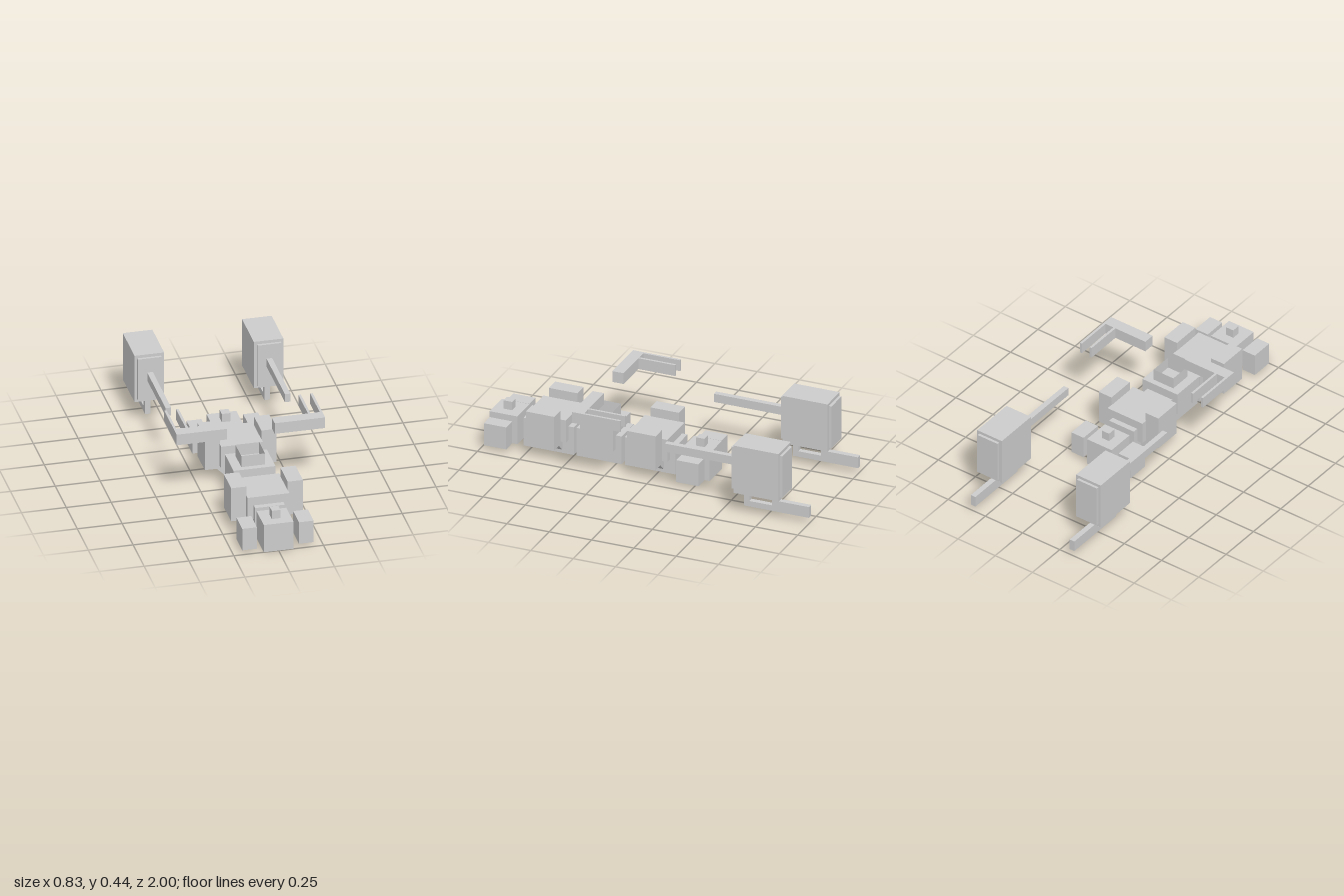
import * as THREE from 'three';

const material = new THREE.MeshStandardMaterial({ color: 0xcccccc, flatShading: true });
const openMaterial = new THREE.MeshStandardMaterial({ color: 0xcccccc, flatShading: true, side: THREE.DoubleSide });

// Box given by its limits on each axis
function box(parent, name, [x0, x1], [y0, y1], [z0, z1]) {
  const mesh = new THREE.Mesh(new THREE.BoxGeometry(x1 - x0, y1 - y0, z1 - z0), material);
  mesh.position.set((x0 + x1) / 2, (y0 + y1) / 2, (z0 + z1) / 2);
  mesh.name = name;
  parent.add(mesh);
  return mesh;
}

// Same box on the left and the right
function pair(parent, name, [x0, x1], y, z) {
  box(parent, name + 'Left', [x0, x1], y, z);
  box(parent, name + 'Right', [-x1, -x0], y, z);
}

function group(parent, name, z = 0) {
  const g = new THREE.Group();
  g.name = name;
  g.position.z = z;
  parent.add(g);
  return g;
}

// End block with a small post and two side blocks
function endSection(parent, name, z) {
  const g = group(parent, name, z);
  box(g, 'endBlock', [-0.083, 0.083], [0, 0.167], [-0.082, 0.082]);
  box(g, 'topPost', [-0.024, 0.024], [0.167, 0.217], [-0.025, 0.025]);
  pair(g, 'sideBlock', [0.117, 0.199], [0.018, 0.15], [-0.066, 0.066]);
}

// Wide section carrying side pods on slanted struts
function wideSection(parent, name, z) {
  const g = group(parent, name, z);
  box(g, 'hull', [-0.083, 0.083], [0, 0.167], [-0.149, 0.149]);
  box(g, 'deck', [-0.117, 0.117], [0.084, 0.217], [-0.117, 0.117]);
  pair(g, 'sidePod', [0.115, 0.2], [0.067, 0.27], [-0.084, 0.084]);
  for (const side of [-1, 1]) {
    for (const dz of [-0.058, 0.058]) {
      const strut = box(g, 'strut', [-0.047, 0.047], [-0.022, 0.022], [-0.024, 0.024]);
      strut.position.set(side * 0.108, 0.072, dz);
      strut.rotation.z = side * Math.PI / 4;
    }
  }
}

// Middle section with an open four-walled hatch
function middleSection(parent, z) {
  const g = group(parent, 'middleSection', z);
  box(g, 'hull', [-0.083, 0.083], [0, 0.167], [-0.133, 0.133]);
  box(g, 'deck', [-0.117, 0.117], [0.084, 0.217], [-0.098, 0.098]);
  const walls = [
    [0.132, 0, 0.066, 0], [0.132, 0, -0.066, 0],
    [0.132, 0.066, 0, Math.PI / 2], [0.132, -0.066, 0, Math.PI / 2],
  ];
  for (const [width, x, dz, turn] of walls) {
    const wall = new THREE.Mesh(new THREE.PlaneGeometry(width, 0.068), openMaterial);
    wall.position.set(x, 0.251, dz);
    wall.rotation.y = turn;
    wall.name = 'hatchWall';
    g.add(wall);
  }
}

export function createModel() {
  const model = new THREE.Group();
  model.name = 'model';

  // Centre line, front to back
  endSection(model, 'frontEnd', 0.918);
  wideSection(model, 'frontSection', 0.652);
  middleSection(model, 0.354);
  wideSection(model, 'rearSection', 0.053);
  endSection(model, 'rearEnd', -0.217);

  // Floating two-pronged brackets
  const brackets = group(model, 'brackets');
  const bracketY = [0.37, 0.435];
  pair(brackets, 'bracketBar', [0.133, 0.414], bracketY, [0.303, 0.37]);
  pair(brackets, 'innerProng', [0.334, 0.348], bracketY, [0.086, 0.303]);
  pair(brackets, 'outerProng', [0.4, 0.414], bracketY, [0.086, 0.303]);

  // Rear cannons: casing, end panels, barrel and stepped handle
  const cannons = group(model, 'cannons');
  const handleX = [0.317, 0.348];
  pair(cannons, 'casing', [0.25, 0.415], [0.135, 0.42], [-0.85, -0.583]);
  pair(cannons, 'endPanelCore', [0.267, 0.4], [0.152, 0.403], [-0.866, -0.567]);
  pair(cannons, 'barrel', handleX, [0.268, 0.317], [-0.567, -0.15]);
  pair(cannons, 'handleFrontPost', handleX, [0.035, 0.137], [-0.648, -0.617]);
  pair(cannons, 'handleRail', handleX, [0.035, 0.068], [-0.782, -0.648]);
  pair(cannons, 'handleTail', handleX, [0.035, 0.1], [-1, -0.782]);
  pair(cannons, 'handleRearPost', handleX, [0.1, 0.137], [-0.815, -0.782]);

  return model;
}
